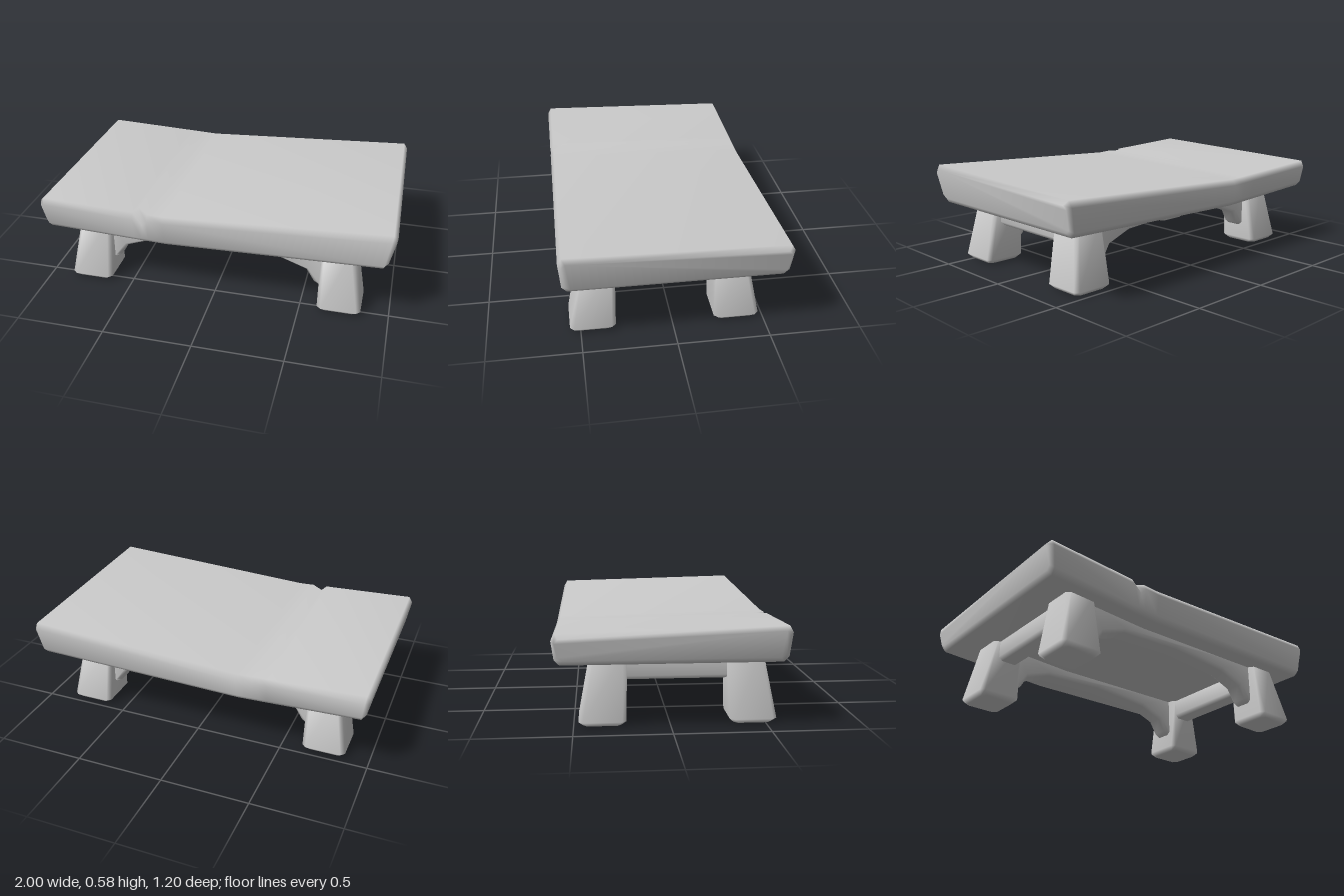
import * as THREE from 'three';
import { mergeVertices } from 'three/addons/utils/BufferGeometryUtils.js';

const material = new THREE.MeshStandardMaterial({ color: 0xcccccc });

// Skins closed rings of [x, y, z] points and caps both ends; area-weighted normals keep big faces flat.
function loft(rings) {
  const n = rings[0].length, index = [], last = (rings.length - 1) * n;
  for (let i = 0; i < rings.length - 1; i++) {
    for (let j = 0; j < n; j++) {
      const a = i * n + j, b = i * n + (j + 1) % n;
      index.push(a, b, b + n, a, b + n, a + n);
    }
  }
  for (let j = 1; j < n - 1; j++) {
    index.push(0, j + 1, j, last, last + j, last + j + 1);
  }
  const g = new THREE.BufferGeometry();
  g.setAttribute('position', new THREE.Float32BufferAttribute(rings.flat(2), 3));
  g.setIndex(index);
  g.computeVertexNormals();
  return g;
}

// Rectangle with cut corners, counterclockwise.
function cutRect(u0, u1, v0, v1, c) {
  return [[u1, v0 + c], [u1, v1 - c], [u1 - c, v1], [u0 + c, v1],
    [u0, v1 - c], [u0, v0 + c], [u0 + c, v0], [u1 - c, v0]];
}

function add(group, name, geometry) {
  const mesh = new THREE.Mesh(geometry, material);
  mesh.name = name;
  group.add(mesh);
  return mesh;
}

// Sagging slab, higher at its front edge, with tapered sides and a nick in the front.
function slabGeometry() {
  const lerp = THREE.MathUtils.lerp;
  const heights = x => {
    const t = x < -0.27 ? (x + 0.27) / -0.73 : (x + 0.27) / 1.27;
    return x < -0.27
      ? [lerp(0.51, 0.538, t), lerp(0.322, 0.35, t)]
      : [lerp(0.51, 0.578, t), lerp(0.322, 0.355, t)];
  };
  const ring = (x, inset = 0) => {
    const [top, bottom] = heights(x);
    const t = top - inset, b = bottom + inset, back = t - 0.027;
    const section = [[t, 0.58], [t - 0.035 + inset / 2, 0.6], [b + 0.03 - inset / 2, 0.587], [b, 0.56],
      [b, -0.56], [b + 0.03 - inset / 2, -0.587], [back - 0.035 + inset / 2, -0.6], [back, -0.58]];
    return section.map(([y, z]) => {
      // the ends lean inward towards the bottom
      const lean = Math.abs(x) > 0.9 ? Math.sign(x) * (x > 0 ? 0.037 : 0.025) * (t - y) / (t - b) : 0;
      return [x - lean, y, z - Math.sign(z) * inset * 0.7];
    });
  };
  const nick = ring(-0.4);
  nick[0] = [-0.43, nick[0][1], 0.52];
  nick[1] = [-0.39, 0.445, 0.592];
  return loft([ring(-1, 0.025), ring(-0.978), ring(-0.445), nick, ring(-0.36),
    ring(-0.27), ring(0.978), ring(1, 0.025)]);
}

// Leg with straight inner sides and flared outer sides; sx and sz point outward.
function legGeometry(sx, sz, innerX, innerZ) {
  const level = (y, wx, wz, inset, slipZ) => {
    const xs = [sx * (innerX + inset), sx * (innerX + wx - inset)].sort((a, b) => a - b);
    const zs = [innerZ + sz * (slipZ + inset), innerZ + sz * (wz - inset)].sort((a, b) => a - b);
    return cutRect(zs[0], zs[1], xs[0], xs[1], 0.022).map(([z, x]) => [x, y, z]);
  };
  return loft([level(0, 0.245, 0.255, 0.024, 0.008), level(0.025, 0.245, 0.255, 0, 0.008),
    level(0.37, 0.185, 0.19, 0, 0)]);
}

// Arched rail running between two legs.
function archGeometry() {
  const half = [[0.66, 0.11], [0.605, 0.11], [0.575, 0.13], [0.53, 0.205], [0.38, 0.26]];
  const shape = new THREE.Shape([
    [-0.66, 0.38],
    ...half.map(([x, y]) => [-x, y]),
    [0, 0.285],
    ...half.map(([x, y]) => [x, y]).reverse(),
    [0.66, 0.38],
  ].map(p => new THREE.Vector2(...p)));
  let g = new THREE.ExtrudeGeometry(shape, {
    depth: 0.08, bevelThickness: 0.02, bevelSize: 0.018, bevelOffset: -0.018, bevelSegments: 1,
  });
  g.deleteAttribute('uv');
  g.deleteAttribute('normal');
  g = mergeVertices(g);
  g.computeVertexNormals();
  return g.translate(-0.01, 0, -0.04);
}

export function createModel() {
  const table = new THREE.Group();
  table.name = 'lowTable';

  add(table, 'tableTop', slabGeometry());

  // legs
  for (const [side, sx, innerX] of [['left', 1, 0.6], ['right', -1, 0.62]]) {
    add(table, `${side}FrontLeg`, legGeometry(sx, 1, innerX, 0.302));
    add(table, `${side}BackLeg`, legGeometry(sx, -1, innerX, -0.22));
  }

  // arched rails along the length
  add(table, 'frontArchRail', archGeometry()).position.z = 0.405;
  add(table, 'backArchRail', archGeometry()).position.z = -0.325;

  // straight rails along the depth
  for (const [side, x] of [['left', 0.69], ['right', -0.71]]) {
    const ring = z => cutRect(x - 0.065, x + 0.065, 0.225, 0.375, 0.022).map(([u, v]) => [u, v, z]);
    add(table, `${side}SideRail`, loft([ring(-0.3), ring(0.38)]));
  }
  return table;
}
